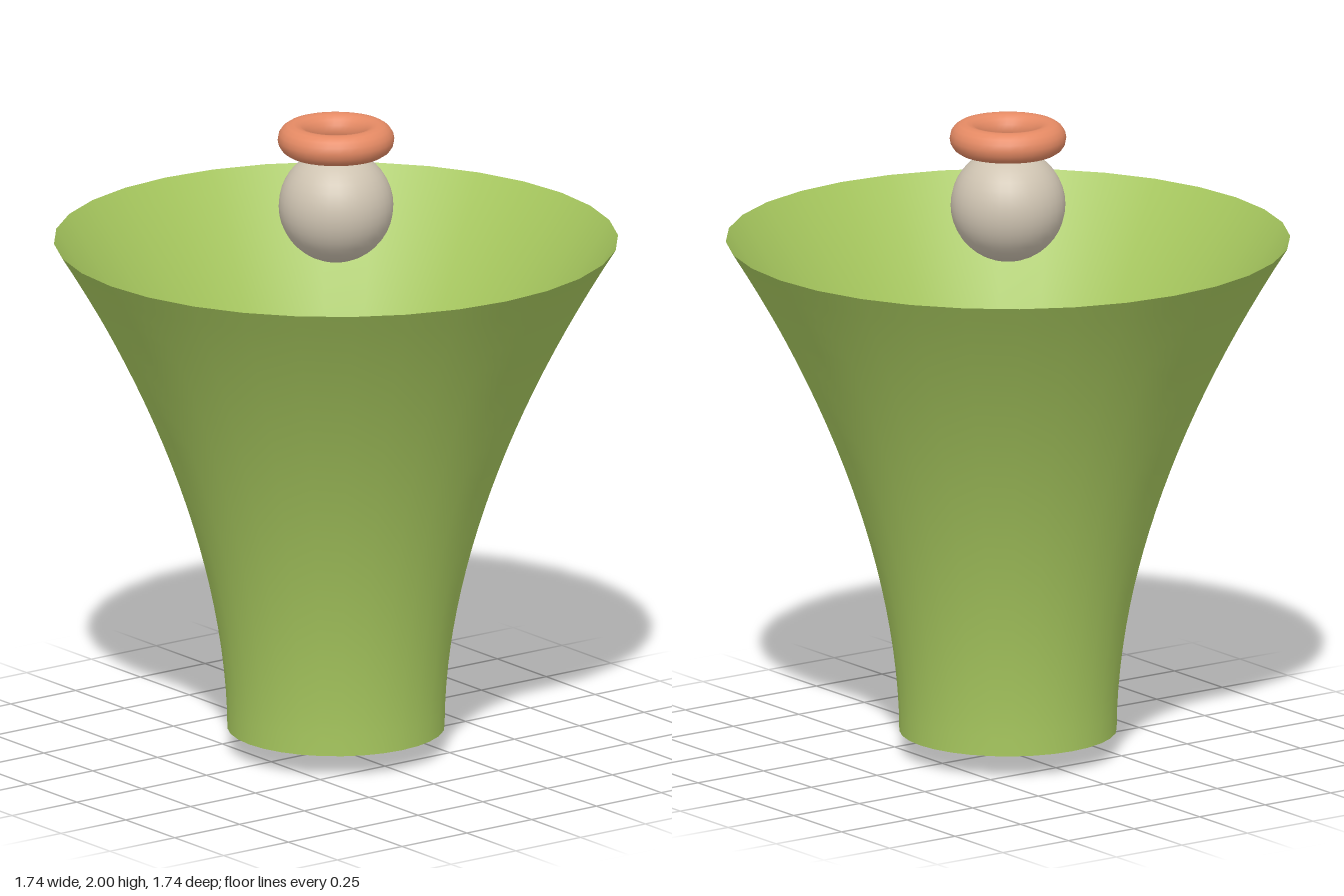
import * as THREE from 'three';

export function createModel() {
  const model = new THREE.Group();
  const add = (name, geometry, color, y, side = THREE.FrontSide) => {
    const mesh = new THREE.Mesh(geometry, new THREE.MeshStandardMaterial({ color, side }));
    mesh.name = name;
    mesh.position.y = y;
    model.add(mesh);
    return mesh;
  };

  // Open flared shell, steep at the foot and widening towards the rim
  const profile = [];
  const steps = 24;
  for (let i = 0; i <= steps; i++) {
    const t = i / steps;
    profile.push(new THREE.Vector2(0.335 + 0.535 * Math.pow(t, 1.85), 1.56 * t));
  }
  add('flaredShell', new THREE.LatheGeometry(profile, 32), 0xa8c95f, 0.07, THREE.DoubleSide);

  // Dark ball hanging in the lower opening
  add('lowerBall', new THREE.SphereGeometry(0.133, 32, 20), 0x2a2a35, 0.133);

  // Pale ball above the rim
  add('upperBall', new THREE.SphereGeometry(0.177, 32, 20), 0xcfc4b2, 1.74);

  // Ring resting on the pale ball
  const ring = add('topRing', new THREE.TorusGeometry(0.132, 0.048, 16, 32), 0xe58a64, 1.952);
  ring.rotation.x = Math.PI / 2;

  return model;
}
